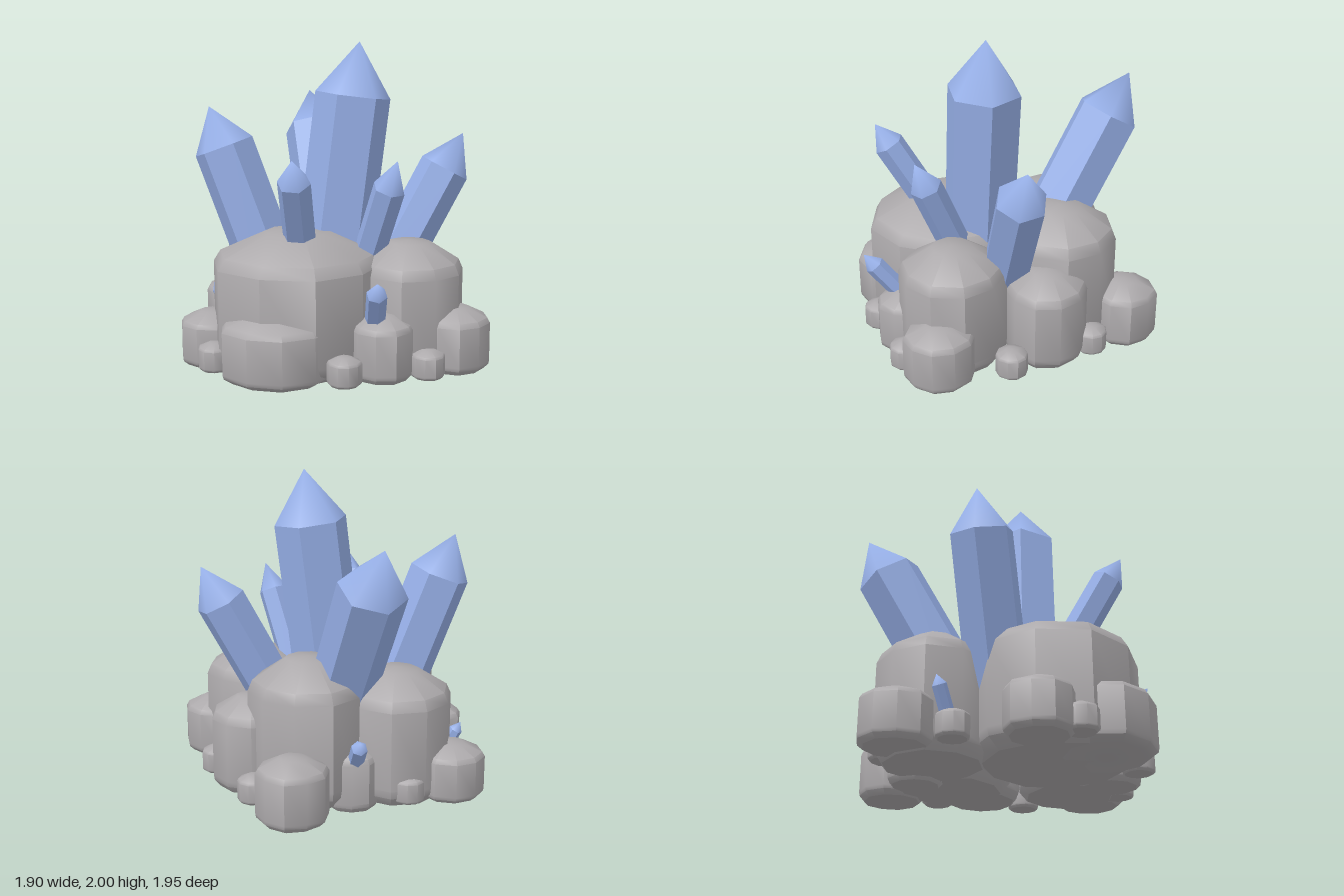
import * as THREE from 'three';
import { mergeVertices, toCreasedNormals } from 'three/addons/utils/BufferGeometryUtils.js';

const stone = new THREE.MeshStandardMaterial({ color: 0xaca9ab });
const crystalSide = new THREE.MeshStandardMaterial({ color: 0x97b0e8, flatShading: true });
const crystalTip = new THREE.MeshStandardMaterial({ color: 0x97b0e8 });

// Bevelled boulder outline: [share of radius, share of height]
const PROFILE = [[0, 0], [0.83, 0], [0.98, 0.08], [1, 0.14], [1, 0.76], [0.92, 0.84], [0.38, 0.99], [0, 1]];

function makeRock(name, x, z, radiusX, radiusZ, bottom, top, turn) {
  const points = PROFILE.map(([r, h]) => new THREE.Vector2(r, h * (top - bottom)));
  const sides = 10;
  const geometry = new THREE.LatheGeometry(points, sides);
  geometry.rotateY(turn);
  // oval plan with uneven sides: each corner moves in or out by a fixed rule
  const p = geometry.attributes.position;
  for (let i = 0; i < p.count; i++) {
    const corner = Math.floor(i / PROFILE.length) % sides;
    const k = 1.015 + 0.02 * Math.sin(corner * 2.4 + turn * 5);
    p.setX(i, p.getX(i) * k * radiusX);
    p.setZ(i, p.getZ(i) * k * radiusZ);
  }
  const rock = new THREE.Mesh(toCreasedNormals(geometry, 0.7), stone);
  rock.name = name;
  rock.position.set(x, bottom, z);
  return rock;
}

// Six-sided point whose normals blend softly across the whole tip
function makeTipGeometry(radius, height) {
  const cone = new THREE.ConeGeometry(radius, height, 6, 1, true);
  cone.deleteAttribute('normal');
  cone.deleteAttribute('uv');
  const tip = mergeVertices(cone);
  tip.computeVertexNormals();
  return tip;
}

function makeCrystal(name, base, tip, radius, tipLength, turn) {
  const from = new THREE.Vector3(...base);
  const axis = new THREE.Vector3(...tip).sub(from);
  const bodyLength = axis.length() - tipLength;
  const crystal = new THREE.Group();
  crystal.name = name;

  // six-sided shaft
  const shaft = new THREE.Mesh(
    new THREE.CylinderGeometry(radius, radius, bodyLength, 6), crystalSide);
  shaft.name = 'crystalShaft';
  shaft.position.y = bodyLength / 2;

  // pointed end
  const point = new THREE.Mesh(makeTipGeometry(radius, tipLength), crystalTip);
  point.name = 'crystalPoint';
  point.position.y = bodyLength + tipLength / 2;

  shaft.rotation.y = point.rotation.y = turn;
  crystal.add(shaft, point);
  crystal.position.copy(from);
  crystal.quaternion.setFromUnitVectors(new THREE.Vector3(0, 1, 0), axis.normalize());
  return crystal;
}

export function createModel() {
  const model = new THREE.Group();
  model.name = 'crystalCluster';

  // x, z, radius along x, radius along z, bottom, top
  const boulders = [
    [-0.22, 0.37, 0.52, 0.5, 0.03, 0.87],
    [0.14, -0.35, 0.36, 0.365, 0.03, 0.91],
    [-0.41, -0.31, 0.345, 0.345, 0.02, 0.82],
    [0.46, 0.34, 0.325, 0.325, 0.04, 0.81],
    [0.48, -0.24, 0.26, 0.25, 0.05, 0.64],
  ];
  const rimRocks = [
    [-0.31, 0.68, 0.335, 0.29, 0.03, 0.44],
    [0.31, 0.62, 0.19, 0.2, 0.04, 0.43],
    [0.74, 0.43, 0.21, 0.215, 0.05, 0.43],
    [0.25, -0.77, 0.215, 0.21, 0.02, 0.42],
    [-0.74, -0.43, 0.21, 0.215, 0.03, 0.37],
    [-0.75, 0.38, 0.2, 0.2, 0.03, 0.36],
    [-0.12, -0.5, 0.17, 0.17, 0, 0.4],
  ];
  const pebbles = [
    [0.72, -0.01], [0.58, 0.64], [0.1, 0.82], [-0.7, 0.6],
    [-0.75, -0.1], [-0.46, -0.58], [0.48, -0.53],
  ];
  boulders.forEach((r, i) => model.add(makeRock('boulder', ...r, 0.3 + i * 0.7)));
  rimRocks.forEach((r, i) => model.add(makeRock('rimRock', ...r, 0.2 + i * 0.9)));
  pebbles.forEach((r, i) => model.add(makeRock('pebble', ...r, 0.1, 0.1, 0.05, 0.22, i * 1.1)));

  // name, foot, tip, radius, length of the point, turn
  const crystals = [
    ['mainCrystal', [-0.04, 0.5, 0.16], [0.14, 2, 0.11], 0.235, 0.33, -0.35],
    ['leaningCrystal', [-0.38, 0.4, 0.08], [-0.82, 1.59, 0.04], 0.195, 0.27, 0.52],
    ['backCrystal', [-0.04, 0.5, -0.22], [-0.27, 1.64, -0.83], 0.21, 0.29, 0.4],
    ['sideCrystal', [0.31, 0.5, 0.01], [0.79, 1.42, -0.09], 0.16, 0.25, 0.4],
    ['frontCrystal', [-0.19, 0.6, 0.36], [-0.2, 1.35, 0.81], 0.1, 0.16, 0.4],
    ['frontSideCrystal', [0.15, 0.5, 0.25], [0.39, 1.32, 0.55], 0.1, 0.19, 0.2],
    ['smallFrontCrystal', [0.26, 0.3, 0.6], [0.29, 0.67, 0.89], 0.062, 0.1, 0.3],
    ['smallBackCrystal', [-0.13, 0.25, -0.55], [-0.15, 0.49, -0.77], 0.05, 0.06, 0.2],
    ['smallSideCrystal', [-0.75, 0.2, -0.13], [-0.85, 0.4, -0.17], 0.042, 0.06, 0.3],
  ];
  crystals.forEach((c) => model.add(makeCrystal(...c)));

  return model;
}
